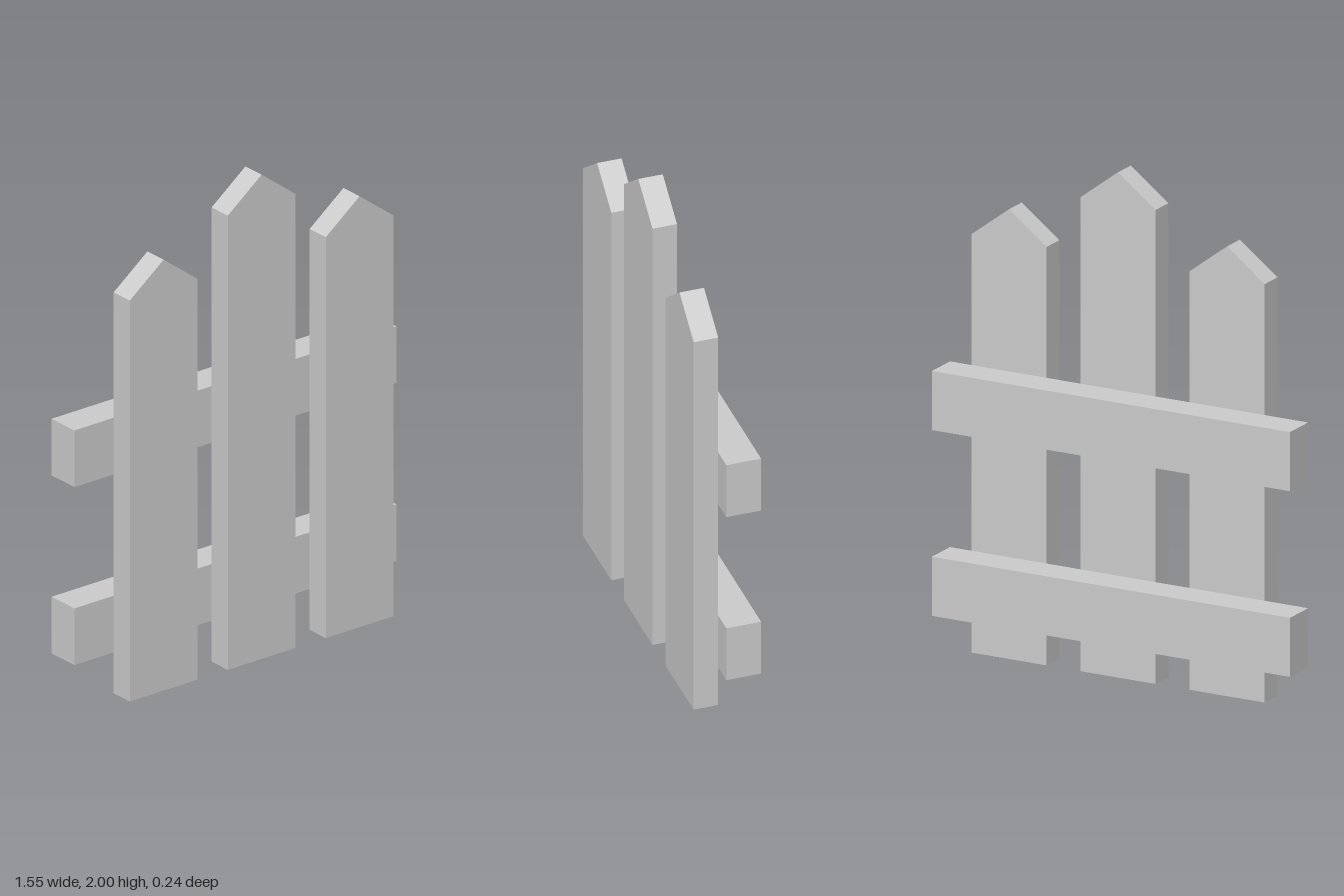
import * as THREE from 'three';

const material = new THREE.MeshStandardMaterial({ color: 0xcccccc, flatShading: true });

// Upright board with a pointed top, standing on y = 0
function makePicket(width, height, pointHeight, depth) {
  const w = width / 2;
  const shape = new THREE.Shape([
    new THREE.Vector2(-w, 0),
    new THREE.Vector2(w, 0),
    new THREE.Vector2(w, height - pointHeight),
    new THREE.Vector2(0, height),
    new THREE.Vector2(-w, height - pointHeight),
  ]);
  const geometry = new THREE.ExtrudeGeometry(shape, { depth, bevelEnabled: false });
  return new THREE.Mesh(geometry, material);
}

export function createModel() {
  const fence = new THREE.Group();
  fence.name = 'picketFence';

  // Three pickets, the middle one taller
  const pickets = [
    ['rightPicket', -0.425, 1.78],
    ['middlePicket', 0.048, 2],
    ['leftPicket', 0.521, 1.78],
  ];
  for (const [name, x, height] of pickets) {
    const picket = makePicket(0.326, height, 0.124, 0.098);
    picket.name = name;
    picket.position.set(x, 0, 0.02);
    fence.add(picket);
  }

  // Two horizontal rails behind the pickets
  for (const [name, y] of [['lowerRail', 0.286], ['upperRail', 1.021]]) {
    const rail = new THREE.Mesh(new THREE.BoxGeometry(1.554, 0.234, 0.139), material);
    rail.name = name;
    rail.position.set(0, y, -0.0495);
    fence.add(rail);
  }

  return fence;
}
